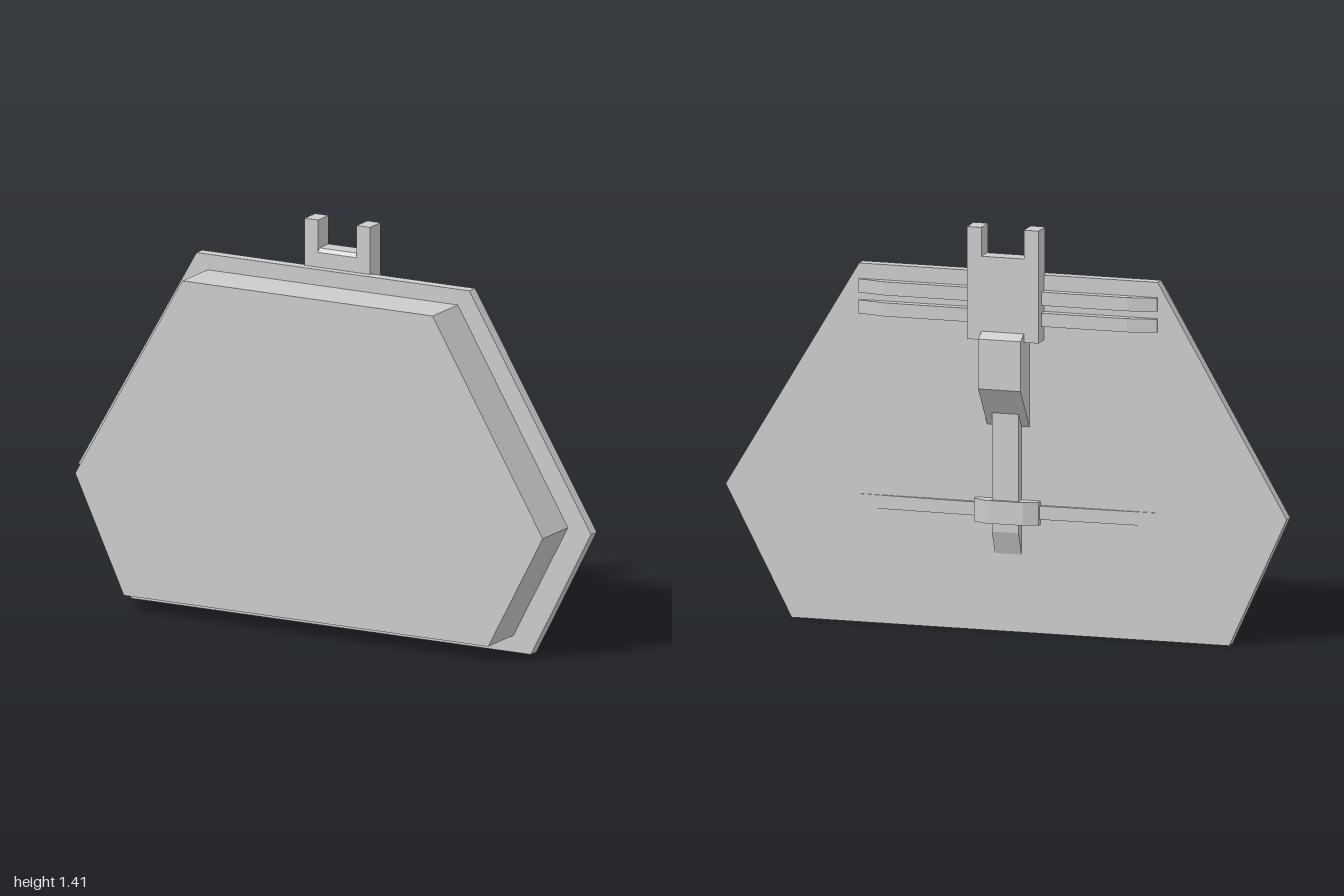
import * as THREE from 'three';

const material = new THREE.MeshStandardMaterial({ color: 0xcccccc, flatShading: true });

function extrude(points, depth) {
  const shape = new THREE.Shape(points.map(([x, y]) => new THREE.Vector2(x, y)));
  return new THREE.ExtrudeGeometry(shape, { depth, bevelEnabled: false });
}

// Outline in (x, y), running from z0 to z1
const panel = (points, z0, z1) => extrude(points, z1 - z0).translate(0, 0, z0);

// Side profile in (z, y), running from x0 to x1
const sideProfile = (points, x0, x1) =>
  extrude(points, x1 - x0).rotateY(-Math.PI / 2).translate(x1, 0, 0);

// Plan profile in (x, z), running from y0 to y1
const planProfile = (points, y0, y1) =>
  extrude(points, y1 - y0).rotateX(Math.PI / 2).translate(0, y1, 0);

export function createModel() {
  const model = new THREE.Group();
  const add = (name, geometry, parent = model) => {
    const mesh = new THREE.Mesh(geometry, material);
    mesh.name = name;
    parent.add(mesh);
  };
  const BACK = -0.056; // rear face of the plate
  const SEAT = -0.045; // attached parts are sunk slightly into the plate

  // Flanged plate and the thick body in front of it
  add('backPlate', panel([
    [-0.795, 0], [0.765, 0], [1, 0.45], [0.525, 1.245], [-0.54, 1.245], [-1, 0.45],
  ], BACK, -0.016));
  add('frontBody', panel([
    [-0.725, 0.058], [0.697, 0.058], [0.91, 0.463], [0.48, 1.19], [-0.497, 1.19], [-0.915, 0.463],
  ], -0.018, 0.158));

  // Forked bracket at the top
  const bracket = new THREE.Group();
  bracket.name = 'bracket';
  model.add(bracket);
  for (const [name, x0, x1] of [['rightProng', -0.135, -0.083], ['leftProng', 0.068, 0.12]]) {
    add(name, sideProfile([[SEAT, 1.02], [SEAT, 1.41], [-0.12, 1.41], [-0.12, 1.02]], x0, x1), bracket);
  }
  add('bracketWeb', sideProfile([
    [SEAT, 1.02], [SEAT, 1.297], [-0.057, 1.31], [-0.12, 1.31], [-0.12, 1.02],
  ], -0.083, 0.068), bracket);

  // Wedge block below the bracket, leading into the rod
  add('wedgeBlock', sideProfile([
    [SEAT, 1.05], [-0.12, 1.05], [-0.157, 1.03], [-0.157, 0.857], [BACK, 0.715], [SEAT, 0.715],
  ], -0.083, 0.068));
  add('rod', sideProfile([
    [SEAT, 0.84], [-0.09, 0.84], [-0.09, 0.35], [BACK - 0.003, 0.27], [SEAT, 0.27],
  ], -0.055, 0.04));

  // Two thick upper ribs with tapered ends
  for (const y of [1.072, 1.145]) {
    add('upperRib', planProfile([
      [-0.54, SEAT], [-0.54, -0.064], [-0.44, -0.087], [0.425, -0.087], [0.525, -0.064], [0.525, SEAT],
    ], y, y + 0.047));
  }

  // Thin lower strip and the clip that holds the rod
  add('lowerStrip', planProfile([
    [-0.54, SEAT], [-0.54, -0.059], [-0.11, -0.07], [0.1, -0.07], [0.525, -0.059], [0.525, SEAT],
  ], 0.398, 0.445));
  add('rodClip', planProfile([
    [-0.123, SEAT], [-0.123, -0.08], [-0.075, -0.102], [0.06, -0.102], [0.108, -0.08], [0.108, SEAT],
  ], 0.38, 0.46));

  return model;
}
